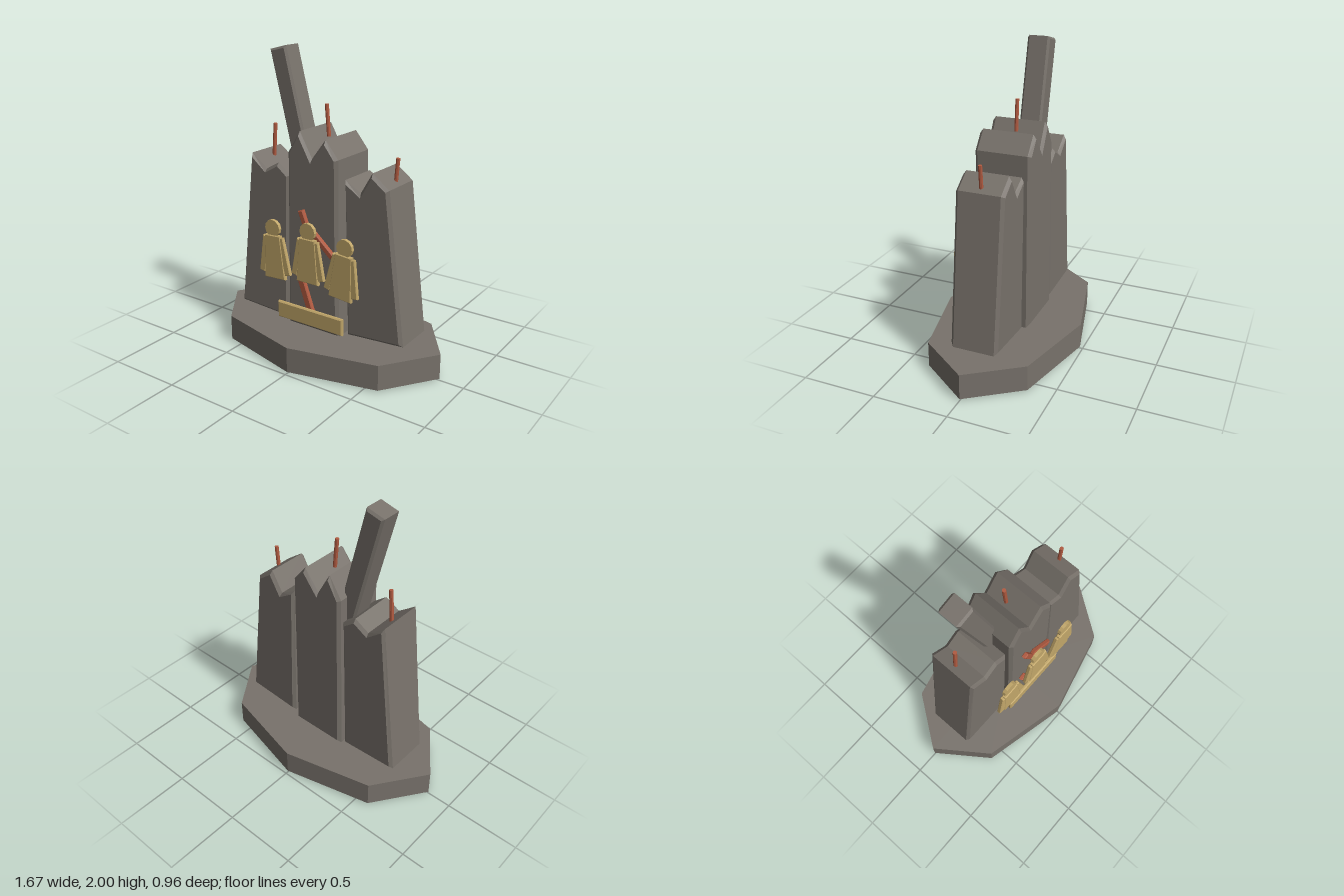
import * as THREE from 'three';

const mat = (color) => new THREE.MeshStandardMaterial({ color, flatShading: true });

export function createModel() {
  const model = new THREE.Group();
  const stone = mat(0x78726b), rust = mat(0xb05a40), gold = mat(0xc2a76a);

  const add = (parent, name, geometry, material) => {
    const mesh = new THREE.Mesh(geometry, material);
    mesh.name = name;
    parent.add(mesh);
    return mesh;
  };

  // Chamfered plate: outline in x/y, filling z0..z1
  const plate = (points, z0, z1, bevel) => {
    const shape = new THREE.Shape(points.map(([x, y]) => new THREE.Vector2(x, y)));
    return new THREE.ExtrudeGeometry(shape, {
      depth: z1 - z0 - 2 * bevel, bevelEnabled: true, bevelSegments: 1,
      bevelSize: bevel, bevelThickness: bevel, bevelOffset: -bevel,
    }).translate(0, 0, z0 + bevel);
  };
  const rect = (w, h) => [[-w / 2, -h / 2], [w / 2, -h / 2], [w / 2, h / 2], [-w / 2, h / 2]];

  // Turns a mesh so its y axis runs from a to b in the front plane
  const span = (mesh, a, b, z) => {
    mesh.position.set((a[0] + b[0]) / 2, (a[1] + b[1]) / 2, z);
    mesh.rotation.z = Math.atan2(a[0] - b[0], b[1] - a[1]);
  };
  const dist = (a, b) => Math.hypot(b[0] - a[0], b[1] - a[1]);

  // Eight-sided plinth
  const base = add(model, 'base', new THREE.CylinderGeometry(1, 1, 0.17, 8), stone);
  base.scale.set(0.835, 1, 0.482);
  base.position.y = 0.095;

  // Broken wall slabs with jagged tops
  add(model, 'centreSlab', plate([
    [-0.21, 0.185], [0.19, 0.185], [0.178, 1.36], [0.085, 1.475],
    [-0.018, 1.34], [-0.11, 1.505], [-0.2, 1.36],
  ], -0.185, 0.19, 0.02), stone);
  add(model, 'rightSlab', plate([
    [-0.64, 0.222], [-0.232, 0.2], [-0.208, 1.2], [-0.3, 1.272],
    [-0.4, 1.215], [-0.52, 1.305],
  ], -0.17, 0.165, 0.02), stone);
  add(model, 'leftSlab', plate([
    [0.235, 0.2], [0.643, 0.23], [0.52, 1.22], [0.4, 1.307],
    [0.32, 1.17], [0.208, 1.235],
  ], -0.16, 0.155, 0.02), stone);

  // Leaning beam, passing down through the base
  const beamEnds = [[0.112, 0.015], [-0.382, 1.985]];
  const beam = add(model, 'leaningBeam',
    plate(rect(0.13, dist(...beamEnds)), -0.075, 0.075, 0.014), stone);
  span(beam, ...beamEnds, -0.035);

  // Bare reinforcing rods above the slabs
  [
    [[-0.472, 1.22], [-0.454, 1.48], -0.018],
    [[-0.016, 1.45], [-0.033, 1.655], -0.01],
    [[0.48, 1.2], [0.495, 1.385], 0],
  ].forEach(([a, b, z]) => {
    span(add(model, 'rod', new THREE.CylinderGeometry(0.013, 0.013, dist(a, b), 8), rust), a, b, z);
  });

  // Rust-coloured crack strips on the front
  [
    [[0.01, 0.77], [-0.082, 1.005], 0.04],
    [[0.16, 0.74], [0, 0.88], 0.04],
    [[0.015, 0.25], [-0.095, 0.56], 0.05],
  ].forEach(([a, b, w]) => {
    span(add(model, 'crackStrip', plate(rect(w, dist(a, b)), -0.016, 0.016, 0.006), rust), a, b, 0.203);
  });

  // Plaque
  const plaque = add(model, 'plaque', plate(rect(0.515, 0.115), 0.212, 0.24, 0.008), gold);
  plaque.position.set(-0.002, 0.289, 0);

  // Flat figures, each placed by the centre of its head
  [
    [-0.28, 0.857, 0.05],
    [0, 0.888, 0],
    [0.28, 0.84, -0.09],
  ].forEach(([x, y, tilt]) => {
    const figure = new THREE.Group();
    figure.name = 'figure';
    const head = add(figure, 'head', new THREE.CylinderGeometry(0.058, 0.058, 0.024, 12), gold);
    head.rotation.x = Math.PI / 2;
    head.position.z = 0.244;
    add(figure, 'body', plate([
      [-0.085, -0.345], [0.085, -0.345], [0.062, -0.045], [-0.062, -0.045],
    ], 0.23, 0.262, 0.006), gold);
    for (const side of [-1, 1]) {
      const a = [side * 0.105, -0.31], b = [side * 0.058, -0.058];
      const arm = add(figure, 'arm', plate(rect(0.046, dist(a, b)), -0.014, 0.014, 0.005), gold);
      span(arm, a, b, 0.244);
    }
    figure.position.set(x, y, 0);
    figure.rotation.z = tilt;
    model.add(figure);
  });

  return model;
}
